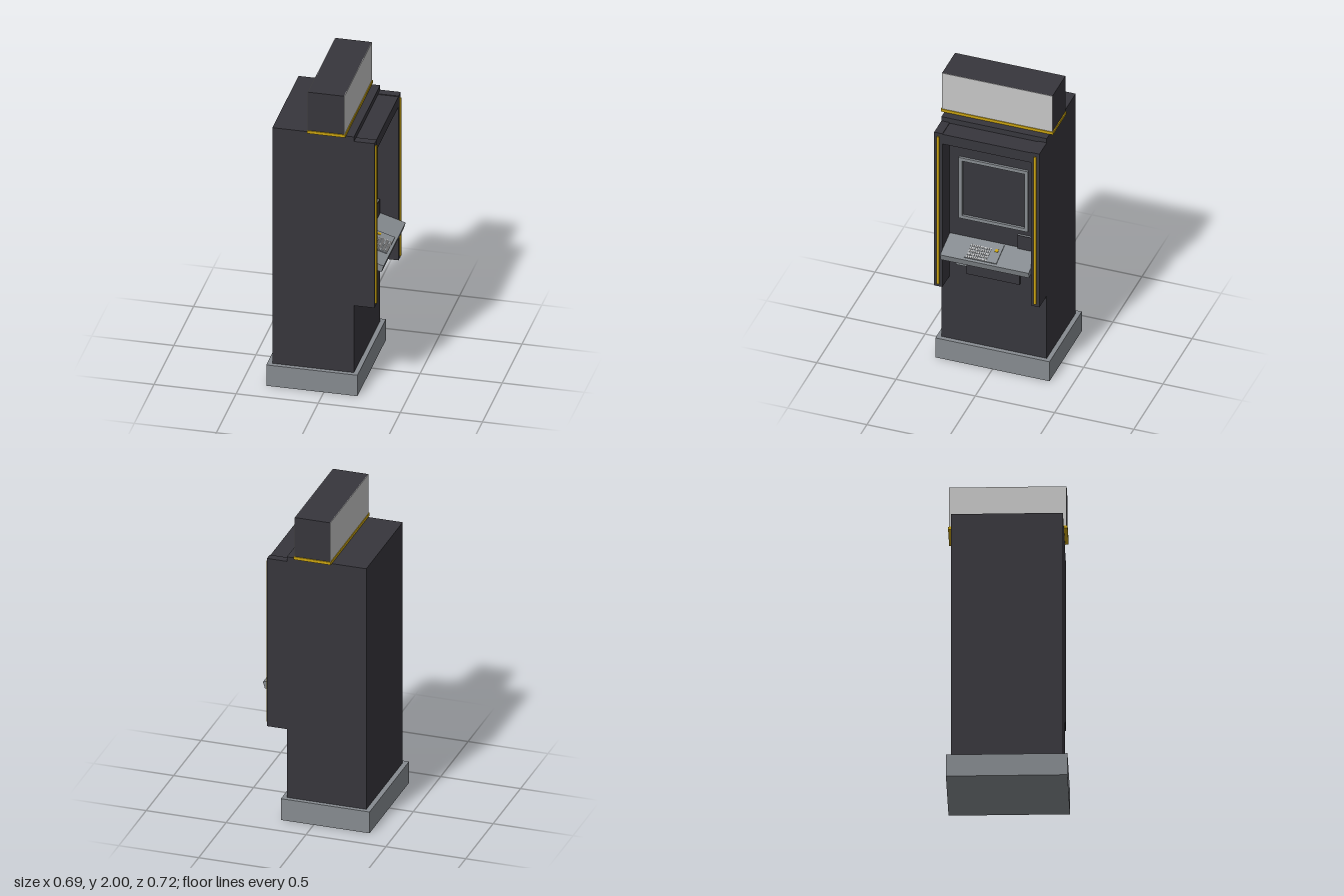
import * as THREE from 'three';

const material = (name, color) => {
  const m = new THREE.MeshStandardMaterial({ color });
  m.name = name;
  return m;
};

export function createModel() {
  const charcoal = material('charcoal', 0x37363c);
  const steel = material('steel', 0x868b90);
  const yellow = material('yellow', 0xc9a20f);
  const pale = material('pale panel', 0xc6c6c6);

  const model = new THREE.Group();
  model.name = 'kiosk';

  // box given by its min and max on each axis
  const box = (name, mat, [x0, x1], [y0, y1], [z0, z1], parent = model) => {
    const mesh = new THREE.Mesh(new THREE.BoxGeometry(x1 - x0, y1 - y0, z1 - z0), mat);
    mesh.position.set((x0 + x1) / 2, (y0 + y1) / 2, (z0 + z1) / 2);
    mesh.name = name;
    parent.add(mesh);
    return mesh;
  };

  // plinth and cabinet; the machine is operated from the +x side
  box('plinth', steel, [-0.35, 0.205], [0, 0.14], [-0.36, 0.36]);
  box('cabinet', charcoal, [-0.32, 0.177], [0.14, 1.725], [-0.332, 0.332]);

  // side cheeks with yellow light strips, joined by a hood
  for (const s of [-1, 1]) {
    const span = (a, b) => [Math.min(s * a, s * b), Math.max(s * a, s * b)];
    box('sideCheek', charcoal, [0.177, 0.302], [0.59, 1.695], span(0.28, 0.332));
    box('lightStrip', yellow, [0.302, 0.311], [0.61, 1.67], span(0.298, 0.313));
  }
  box('hood', charcoal, [0.177, 0.3], [1.62, 1.69], [-0.28, 0.28]);

  // screen frame, open in the middle
  const rect = (Target, h) => {
    const p = new Target();
    p.moveTo(-h, -h).lineTo(h, -h).lineTo(h, h).lineTo(-h, h).closePath();
    return p;
  };
  const frameShape = rect(THREE.Shape, 0.218);
  frameShape.holes.push(rect(THREE.Path, 0.196));
  const frame = new THREE.Mesh(
    new THREE.ExtrudeGeometry(frameShape, { depth: 0.015, bevelEnabled: false }), steel);
  frame.name = 'screenFrame';
  frame.rotation.y = Math.PI / 2;
  frame.position.set(0.177, 1.25, 0);
  model.add(frame);

  // card reader: steel backing with a dark face
  box('readerBacking', steel, [0.177, 0.188], [0.9, 0.996], [-0.265, -0.153]);
  box('readerFace', charcoal, [0.188, 0.192], [0.9, 0.996], [-0.265, -0.153]);

  // sloping shelf; local origin is at its top front edge
  const shelf = new THREE.Group();
  shelf.name = 'shelf';
  shelf.position.set(0.345, 0.85, 0);
  shelf.rotation.z = -0.29;
  model.add(shelf);
  box('shelfBoard', steel, [-0.18, 0], [-0.044, 0], [-0.279, 0.279], shelf);
  box('keypadPlate', steel, [-0.165, -0.017], [0, 0.006], [-0.07, 0.135], shelf);
  for (let row = 0; row < 5; row++)
    for (let col = 0; col < 11; col++) {
      const x = -0.12 + row * 0.022, z = -0.006 + col * 0.012;
      box('key', pale, [x, x + 0.014], [0.006, 0.009], [z, z + 0.008], shelf);
    }
  box('signalKey', yellow, [-0.12, -0.1], [0.006, 0.009], [-0.05, -0.03], shelf);

  // dispensing tray and its side slot
  box('tray', charcoal, [0.177, 0.195], [0.642, 0.752], [-0.167, 0.167]);
  box('traySlot', steel, [0.177, 0.187], [0.688, 0.71], [0.167, 0.236]);

  // sign on top, with pale faces to front and back and a yellow trim below
  box('signTrim', yellow, [-0.105, 0.128], [1.725, 1.743], [-0.354, 0.354]);
  box('signBox', charcoal, [-0.098, 0.12], [1.743, 2], [-0.348, 0.348]);
  box('signFrontPanel', pale, [0.12, 0.123], [1.743, 2], [-0.348, 0.348]);
  box('signBackPanel', pale, [-0.101, -0.098], [1.743, 2], [-0.348, 0.348]);

  return model;
}
